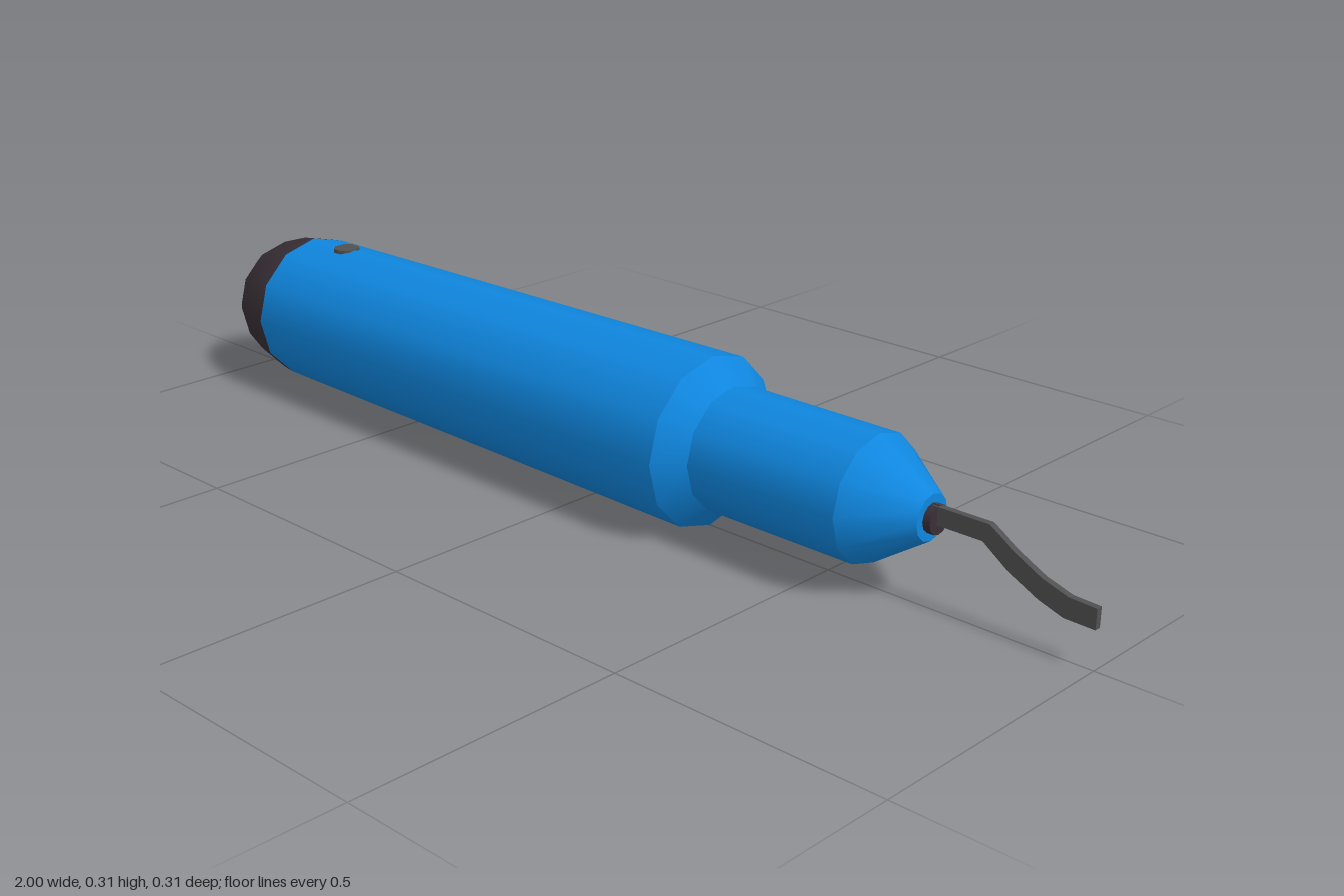
import * as THREE from 'three';

const AXIS_Y = 0.154;
const SIDES = 12;

function material(name, color) {
  const m = new THREE.MeshStandardMaterial({ color });
  m.name = name;
  return m;
}

export function createModel() {
  const group = new THREE.Group();
  group.name = 'deburringTool';
  const blue = material('blue plastic', 0x0f86de);
  const black = material('dark rubber', 0x382f36);
  const steel = material('dark steel', 0x505050);

  const add = (name, geometry, mat) => {
    const mesh = new THREE.Mesh(geometry, mat);
    mesh.name = name;
    group.add(mesh);
    return mesh;
  };

  // Turned section along x, from [x, radius] pairs; smooth within one section
  const turned = (name, profile, mat, sides = SIDES) => {
    const points = profile.map(([x, r]) => new THREE.Vector2(r, x));
    const geometry = new THREE.LatheGeometry(points, sides);
    geometry.rotateZ(-Math.PI / 2).translate(0, AXIS_Y, 0);
    return add(name, geometry, mat);
  };

  // Rounded rear cap
  turned('endCap', [
    [-1, 0], [-0.997, 0.055], [-0.975, 0.09], [-0.94, 0.116],
    [-0.87, 0.139], [-0.84, 0.143],
  ], black);

  // Handle: tapered grip, shoulder, neck, cone and flat nose
  turned('grip', [[-0.84, 0.143], [0.24, 0.154]], blue);
  turned('shoulder', [[0.24, 0.154], [0.285, 0.111]], blue);
  turned('neck', [[0.285, 0.111], [0.59, 0.111]], blue);
  turned('noseCone', [[0.59, 0.111], [0.697, 0.04]], blue);
  turned('noseFace', [[0.697, 0.04], [0.697, 0]], blue);

  // Blade socket
  turned('socketRim', [[0.69, 0.025], [0.711, 0.025]], black);
  turned('socketFace', [[0.711, 0.025], [0.711, 0]], black);

  // Thin swan-necked blade
  const outline = [
    [0.7, 0.147], [0.795, 0.147], [0.84, 0.115], [0.9, 0.085],
    [0.945, 0.07], [1, 0.069], [1, 0.104], [0.952, 0.106],
    [0.905, 0.121], [0.853, 0.148], [0.806, 0.178], [0.7, 0.178],
  ].map(([x, y]) => new THREE.Vector2(x, y));
  const bladeGeometry = new THREE.ExtrudeGeometry(new THREE.Shape(outline), {
    depth: 0.012, bevelEnabled: false,
  });
  add('blade', bladeGeometry.translate(0, 0, -0.006), steel);

  // Small pin set into the top of the grip
  const pin = add('pin', new THREE.CylinderGeometry(0.026, 0.026, 0.02, 8), steel);
  pin.position.set(-0.735, 0.289, 0);
  pin.rotation.y = Math.PI / 8;

  return group;
}
